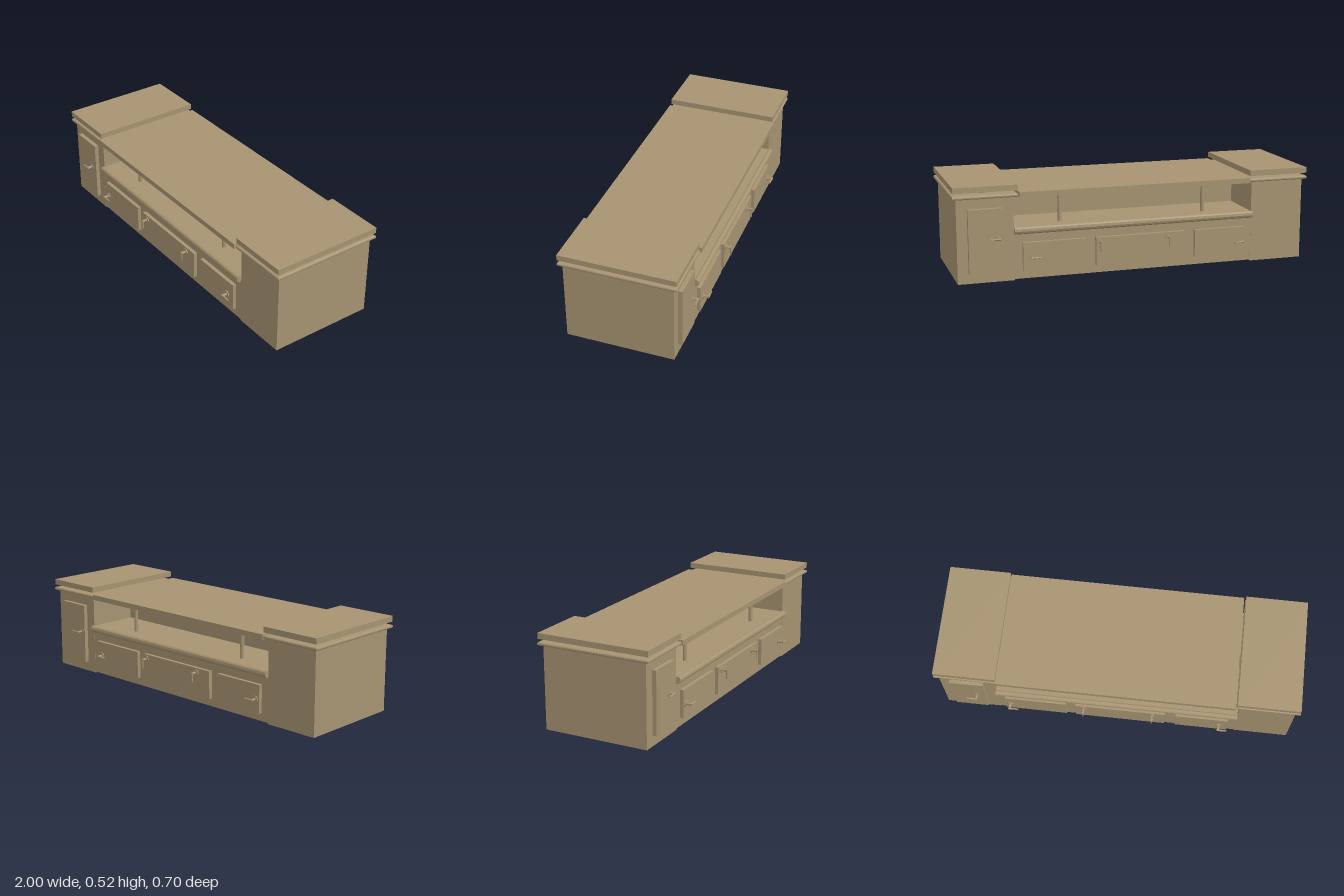
import * as THREE from 'three';

const mat = new THREE.MeshStandardMaterial({ color: 0xa69371, flatShading: true, side: THREE.DoubleSide });

function add(parent, name, geo, x = 0, y = 0, z = 0) {
  const m = new THREE.Mesh(geo, mat);
  m.name = name;
  m.position.set(x, y, z);
  parent.add(m);
  return m;
}

// Box given by its limits
function block(parent, name, x0, x1, y0, y1, z0, z1) {
  return add(parent, name, new THREE.BoxGeometry(x1 - x0, y1 - y0, z1 - z0),
    (x0 + x1) / 2, (y0 + y1) / 2, (z0 + z1) / 2);
}

// Shell without a floor
function shell(parent, name, x0, x1, y0, y1, z0, z1) {
  const m = block(parent, name, x0, x1, y0, y1, z0, z1);
  const idx = Array.from(m.geometry.index.array);
  idx.splice(18, 6);
  m.geometry.setIndex(idx);
  m.geometry.clearGroups();
}

// Lever handle standing out along +z; angle turns the lever about z
function leverHandle(parent, x, y, z, angle) {
  const g = new THREE.Group();
  g.name = 'leverHandle';
  const disc = add(g, 'rosette', new THREE.CylinderGeometry(0.018, 0.018, 0.006, 16), 0, 0, 0.002);
  const spindle = add(g, 'spindle', new THREE.CylinderGeometry(0.007, 0.007, 0.03, 10), 0, 0, 0.016);
  disc.rotation.x = spindle.rotation.x = Math.PI / 2;
  const lever = add(g, 'lever', new THREE.CylinderGeometry(0.004, 0.006, 0.056, 10), 0.021, 0, 0.029);
  lever.rotation.z = -Math.PI / 2;
  g.position.set(x, y, z);
  g.rotation.z = angle;
  parent.add(g);
}

// Doors and handles of one long side, facing +z
function doorSide(name, handles) {
  const side = new THREE.Group();
  side.name = name;
  block(side, 'towerDoor', -0.92, -0.735, 0.057, 0.4, 0.29, 0.319);
  for (const [x0, x1] of [[-0.63, -0.285], [-0.23, 0.275], [0.335, 0.63]]) {
    block(side, 'lowDoor', x0, x1, 0.05, 0.205, 0.29, 0.315);
  }
  for (const [x, y, angle] of handles) leverHandle(side, x, y, 0.317, angle);
  return side;
}

export function createModel() {
  const root = new THREE.Group();
  root.name = 'serviceCounter';

  // End towers with moulded ledge, feet and raised top
  for (const s of [-1, 1]) {
    const tower = new THREE.Group();
    tower.name = s > 0 ? 'leftTower' : 'rightTower';
    tower.position.x = s * 0.826;
    root.add(tower);
    shell(tower, 'towerBody', -0.152, 0.152, 0, 0.456, -0.296, 0.296);

    const w = 0.161, d = 0.306;
    const rect = new THREE.Shape([[-w, -d], [w, -d], [w, d], [-w, d]].map(p => new THREE.Vector2(...p)));
    const ledge = new THREE.ExtrudeGeometry(rect, {
      depth: 0.005, bevelThickness: 0.008, bevelSize: 0.012, bevelSegments: 3,
    });
    ledge.rotateX(-Math.PI / 2);
    add(tower, 'ledge', ledge, 0, 0.461, 0);

    for (const z of [-0.245, 0.245]) {
      add(tower, 'topFoot', new THREE.CylinderGeometry(0.016, 0.014, 0.018, 16), 0, 0.481, z);
    }
    block(tower, 'raisedTop', -0.17, 0.17, 0.489, 0.52, -0.317, 0.317);
  }

  // Low middle cabinet
  shell(root, 'middleCabinet', -0.674, 0.674, 0.006, 0.256, -0.295, 0.295);

  // Work surface with rounded edges, swept between the towers
  const half = [[0.295, 0.25], [0.308, 0.251], [0.318, 0.258], [0.322, 0.268],
    [0.32, 0.281], [0.313, 0.288], [0.303, 0.289], [0.296, 0.285]];
  const profile = [...half, ...half.map(([z, y]) => [-z, y]).reverse()];
  const surface = new THREE.ExtrudeGeometry(
    new THREE.Shape(profile.map(p => new THREE.Vector2(...p))), { depth: 1.348, bevelEnabled: false });
  surface.rotateY(Math.PI / 2);
  add(root, 'workSurface', surface, -0.674, 0, 0);

  // Dividing panel, posts and long serving shelf
  block(root, 'dividerPanel', -0.674, 0.674, 0.285, 0.44, -0.008, 0.008);
  for (const x of [-0.415, 0.405]) {
    for (const z of [-0.21, 0.21]) {
      add(root, 'shelfPost', new THREE.CylinderGeometry(0.011, 0.011, 0.17, 16), x, 0.368, z);
    }
  }
  block(root, 'servingShelf', -0.655, 0.647, 0.451, 0.48, -0.325, 0.325);

  // Doors on both long sides, the back one turned half round
  const down = -Math.PI / 2;
  root.add(doorSide('frontDoors', [[-0.785, 0.24, Math.PI], [-0.605, 0.125, 0],
    [-0.185, 0.18, down], [0.202, 0.18, down], [0.58, 0.125, 0]]));
  const back = doorSide('backDoors', [[-0.762, 0.24, Math.PI], [-0.587, 0.125, 0],
    [-0.21, 0.18, down], [0.178, 0.18, down], [0.605, 0.125, Math.PI]]);
  back.rotation.y = Math.PI;
  root.add(back);

  return root;
}
